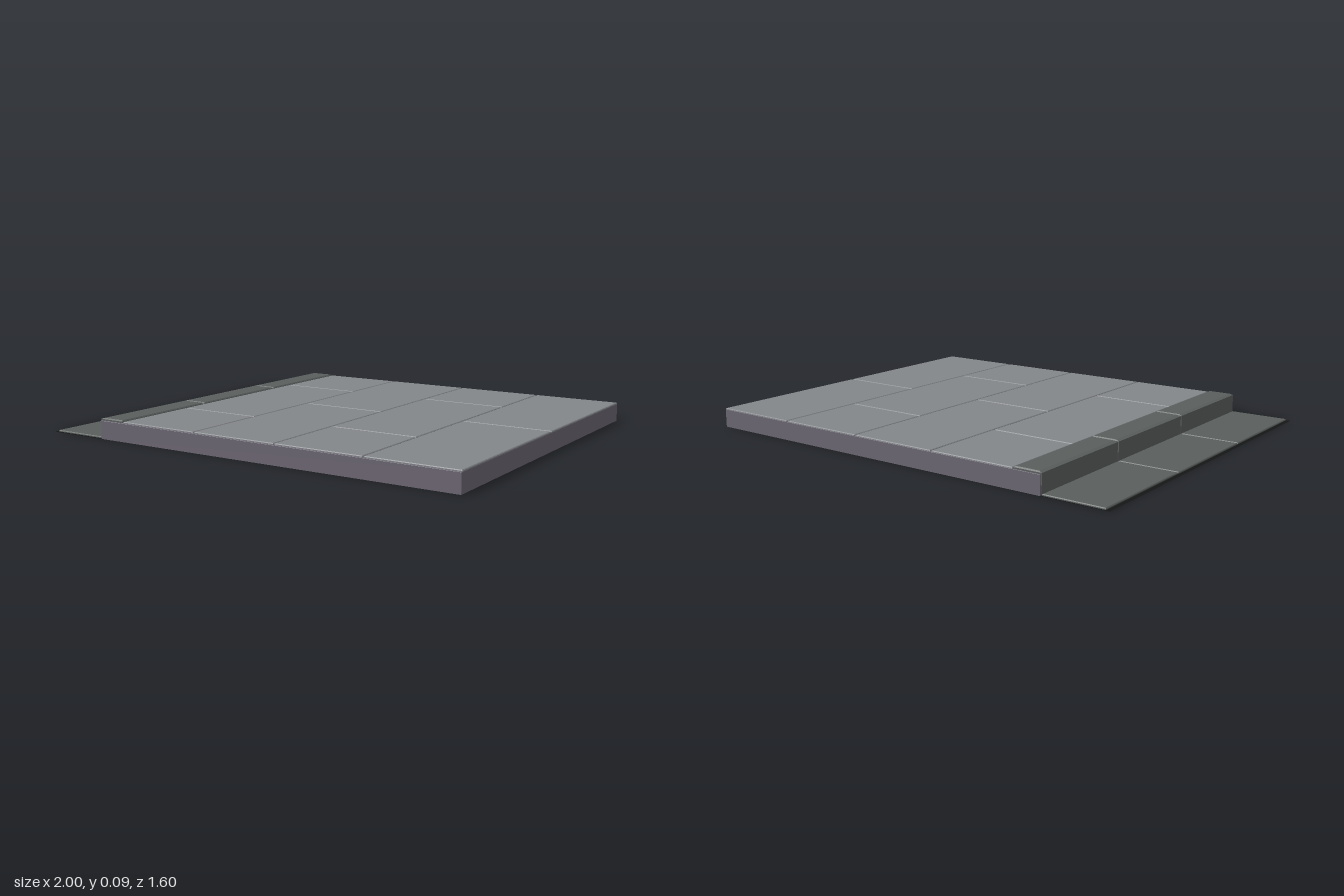
import * as THREE from 'three';

const material = (color) => new THREE.MeshStandardMaterial({ color, flatShading: true, side: THREE.DoubleSide });

// Open-bottomed block with chamfered top edges; bevelLeft widens the -x chamfer.
function shell(x0, x1, z0, z1, y0, y1, bevel, bevelLeft = bevel) {
  const ring = (a, b, c, d, y) => [[a, y, d], [b, y, d], [b, y, c], [a, y, c]];
  const rings = [
    ring(x0, x1, z0, z1, y0),
    ring(x0, x1, z0, z1, y1 - bevel),
    ring(x0 + bevelLeft, x1 - bevel, z0 + bevel, z1 - bevel, y1),
  ];
  const points = [];
  const quad = (a, b, c, d) => points.push(...a, ...b, ...c, ...a, ...c, ...d);
  for (let r = 0; r < 2; r++) {
    for (let i = 0; i < 4; i++) {
      const j = (i + 1) % 4;
      quad(rings[r][i], rings[r][j], rings[r + 1][j], rings[r + 1][i]);
    }
  }
  quad(...rings[2]);
  const geometry = new THREE.BufferGeometry();
  geometry.setAttribute('position', new THREE.Float32BufferAttribute(points, 3));
  geometry.computeVertexNormals();
  return geometry;
}

export function createModel() {
  const model = new THREE.Group();
  model.name = 'pavementSection';
  const mortar = material(0x6b6672);
  const paving = material(0x83868a);
  const curbStone = material(0x5a5f5d);
  const asphalt = material(0x141616);

  const add = (name, geometry, mat, parent = model) => {
    const mesh = new THREE.Mesh(geometry, mat);
    mesh.name = name;
    parent.add(mesh);
    return mesh;
  };
  const group = (name) => {
    const g = new THREE.Group();
    g.name = name;
    model.add(g);
    return g;
  };

  // Hollow mortar bed, its top showing in the joints
  add('mortarBed', shell(-0.71, 1, -0.8, 0.8, 0, 0.08, 0.001), mortar);

  // Four staggered columns of paving slabs
  const slabs = group('pavingSlabs');
  const columns = [-0.59, -0.2, 0.2, 0.6, 0.999];
  const gap = 0.003;
  for (let c = 0; c < 4; c++) {
    const rows = c % 2 ? [-0.802, 0, 0.796] : [-0.802, -0.4, 0.396, 0.796];
    for (let r = 0; r < rows.length - 1; r++) {
      add('pavingSlab', shell(columns[c] + gap, columns[c + 1] - (c < 3 ? gap : 0),
        rows[r] + gap, rows[r + 1] - gap, 0.05, 0.086, 0.003), paving, slabs);
    }
  }

  // Three curb stones and the gutter slabs beside them
  const curb = group('curb');
  const gutter = group('gutter');
  const splits = [-0.8, -0.266, 0.266, 0.796];
  for (let i = 0; i < 3; i++) {
    const z0 = splits[i] + 0.004, z1 = splits[i + 1] - 0.004;
    add('curbStone', shell(-0.716, -0.592, z0, z1, 0.04, 0.091, 0.005, 0.016), curbStone, curb);
    const face = add('curbFace', new THREE.PlaneGeometry(z1 - z0, 0.045), curbStone, curb);
    face.rotation.y = -Math.PI / 2;
    face.position.set(-0.716, 0.0225, (z0 + z1) / 2);
    add('gutterSlab', shell(-0.982, -0.716, z0, z1, 0.001, 0.008, 0.003), curbStone, gutter);
  }

  // Thin asphalt sheet under the gutter
  const sheet = add('asphaltSheet', new THREE.PlaneGeometry(0.3, 1.6), asphalt, gutter);
  sheet.rotation.x = -Math.PI / 2;
  sheet.position.set(-0.85, 0, 0);

  return model;
}
